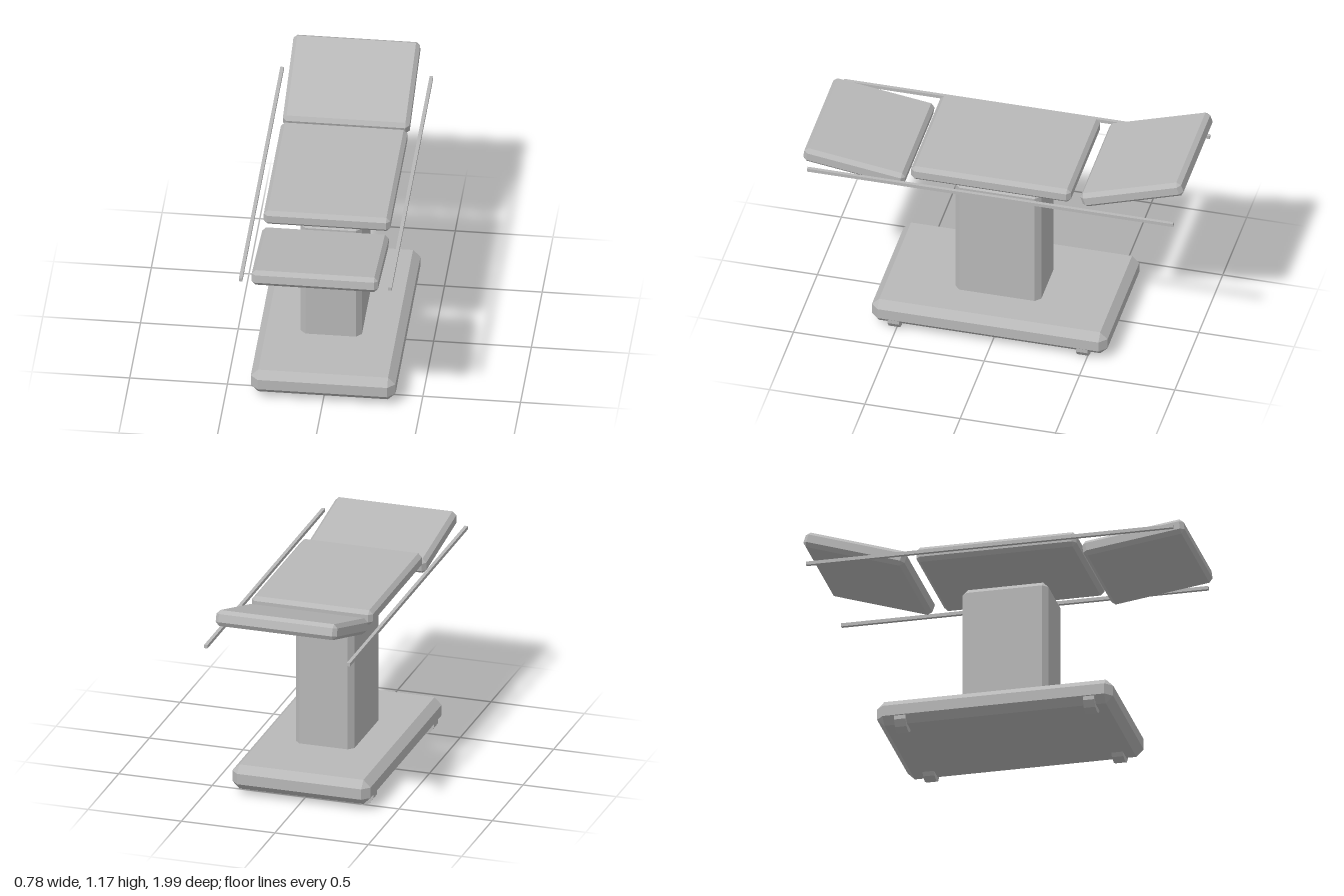
import * as THREE from 'three';
import { ConvexGeometry } from 'three/addons/geometries/ConvexGeometry.js';

// Box with every edge and corner cut by a flat chamfer c
function chamferBox(w, h, d, c) {
  const points = [];
  for (const sx of [-1, 1]) for (const sy of [-1, 1]) for (const sz of [-1, 1]) {
    const x = w / 2, y = h / 2, z = d / 2;
    points.push(
      new THREE.Vector3(sx * x, sy * (y - c), sz * (z - c)),
      new THREE.Vector3(sx * (x - c), sy * y, sz * (z - c)),
      new THREE.Vector3(sx * (x - c), sy * (y - c), sz * z)
    );
  }
  return new ConvexGeometry(points);
}

export function createModel() {
  const group = new THREE.Group();
  const grey = new THREE.MeshStandardMaterial({ color: 0xb8b8b8, flatShading: true });
  grey.name = 'plain grey';

  function add(name, geometry, x, y, z, tilt = 0) {
    const mesh = new THREE.Mesh(geometry, grey);
    mesh.name = name;
    mesh.position.set(x, y, z);
    mesh.rotation.x = tilt;
    group.add(mesh);
  }

  // Base and lifting column
  add('base', chamferBox(0.74, 0.133, 1.235, 0.038), 0, 0.098, 0.013);
  add('column', chamferBox(0.314, 0.742, 0.45, 0.028), 0, 0.471, 0.018);

  // Padded table sections
  const deg = Math.PI / 180;
  add('seatSection', chamferBox(0.648, 0.08, 0.838, 0.02), 0, 0.984, 0.013);
  add('backSection', chamferBox(0.648, 0.082, 0.556, 0.02), 0, 1.053, -0.726, 18 * deg);
  add('legSection', chamferBox(0.648, 0.082, 0.535, 0.02), 0, 0.96, 0.73, -8 * deg);

  // Side rails and casters, mirrored left and right
  const rail = new THREE.BoxGeometry(0.018, 0.018, 1.92);
  const caster = new THREE.CylinderGeometry(0.065, 0.065, 0.06, 10);
  caster.rotateX(Math.PI / 2);
  for (const [side, s] of [['left', 1], ['right', -1]]) {
    add(side + 'Rail', rail, s * 0.382, 0.961, -0.003);
    add(side + 'FrontCaster', caster, s * 0.305, 0.065, 0.51);
    add(side + 'BackCaster', caster, s * 0.305, 0.065, -0.478);
  }
  return group;
}
